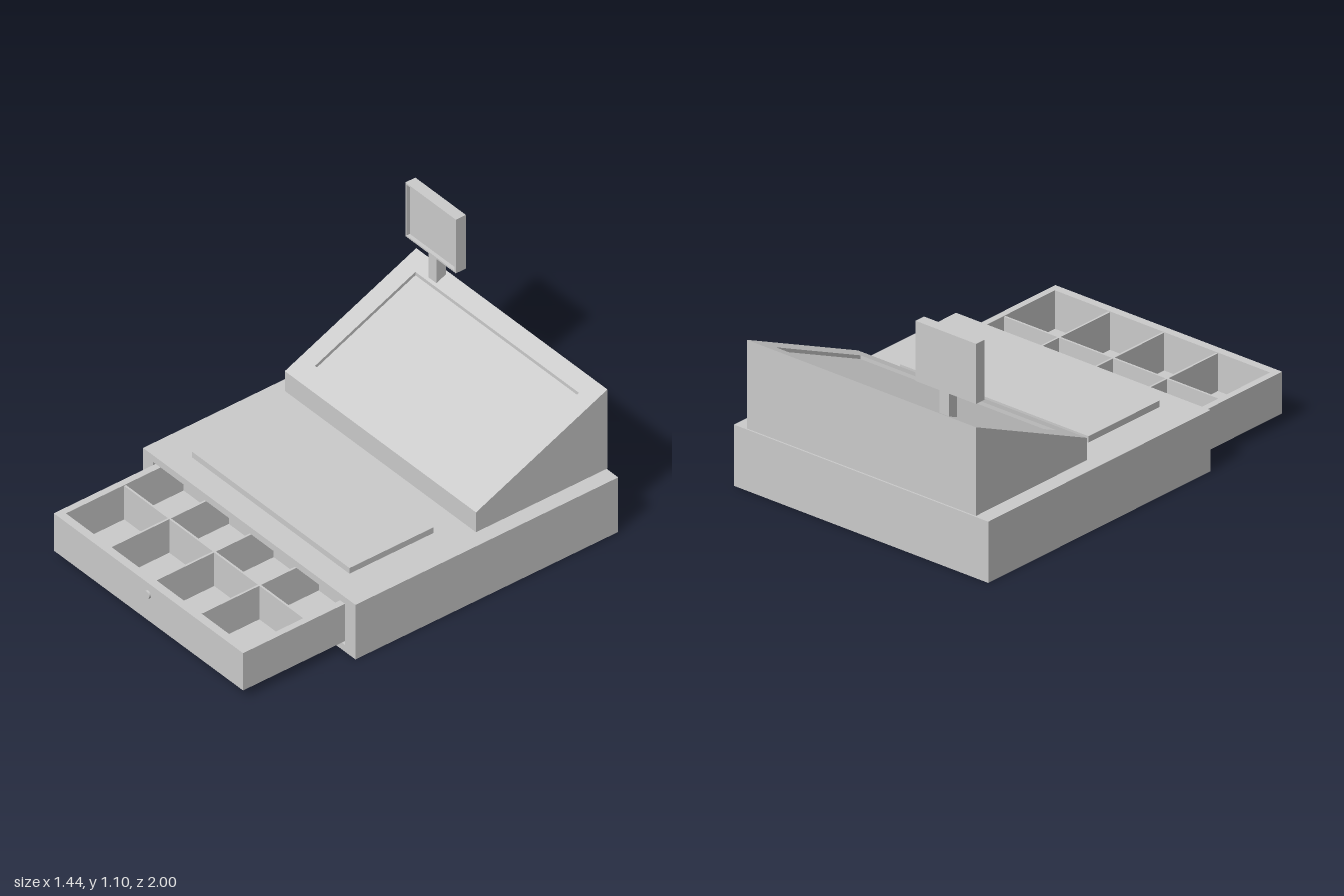
import * as THREE from 'three';

const material = new THREE.MeshStandardMaterial({ color: 0xcccccc, flatShading: true });

function addMesh(parent, name, geometry) {
  const mesh = new THREE.Mesh(geometry, material);
  mesh.name = name;
  parent.add(mesh);
  return mesh;
}

// Box given by its lower and upper limits on each axis
function addBox(parent, name, [x0, x1], [y0, y1], [z0, z1]) {
  const mesh = addMesh(parent, name, new THREE.BoxGeometry(x1 - x0, y1 - y0, z1 - z0));
  mesh.position.set((x0 + x1) / 2, (y0 + y1) / 2, (z0 + z1) / 2);
  return mesh;
}

function rectangle(PathType, [x0, x1], [y0, y1]) {
  const p = new PathType();
  p.moveTo(x0, y0);
  p.lineTo(x1, y0);
  p.lineTo(x1, y1);
  p.lineTo(x0, y1);
  p.closePath();
  return p;
}

// Rectangular frame in the xy plane, extruded along z from 0 to depth
function frameGeometry(outerX, outerY, innerX, innerY, depth) {
  const shape = rectangle(THREE.Shape, outerX, outerY);
  shape.holes.push(rectangle(THREE.Path, innerX, innerY));
  return new THREE.ExtrudeGeometry(shape, { depth, bevelEnabled: false });
}

function buildBase() {
  const base = new THREE.Group();
  base.name = 'base';
  const x = [-0.718, 0.718], y = [0, 0.29];
  // Hollow front housing that the drawer slides into, closed by a solid rear
  addMesh(base, 'drawerHousing', frameGeometry(x, y, [-0.65, 0.646], [0.036, 0.255], 0.74)).position.z = -0.3;
  addBox(base, 'baseRear', x, y, [-1, -0.3]);
  addBox(base, 'keypadPlate', [-0.535, 0.53], [0.29, 0.32], [-0.14, 0.32]);
  return base;
}

function buildDrawer() {
  const drawer = new THREE.Group();
  drawer.name = 'drawer';
  const x = [-0.643, 0.637], inX = [-0.61, 0.605];
  const z = [0.27, 0.99], inZ = [0.305, 0.95];
  const y0 = 0.047, y1 = 0.245;
  // Outer walls: frame laid flat so its depth becomes height
  const walls = frameGeometry(x, [-z[1], -z[0]], inX, [-inZ[1], -inZ[0]], y1 - y0);
  walls.rotateX(-Math.PI / 2);
  addMesh(drawer, 'drawerWalls', walls).position.y = y0;
  addBox(drawer, 'drawerFloor', inX, [y0 + 0.006, y0 + 0.016], inZ);
  // Coin and note dividers
  for (const cx of [-0.31, -0.006, 0.299]) {
    addBox(drawer, 'lengthDivider', [cx - 0.005, cx + 0.005], [y0, y1 - 0.004], inZ);
  }
  addBox(drawer, 'crossDivider', inX, [y0, y1 - 0.004], [0.621, 0.631]);
  // Lock on the drawer front
  const lock = addMesh(drawer, 'lock', new THREE.CylinderGeometry(0.019, 0.019, 0.02, 24));
  lock.rotation.x = Math.PI / 2;
  lock.position.set(-0.004, 0.187, 0.99);
  return drawer;
}

function buildConsole() {
  const console = new THREE.Group();
  console.name = 'screenConsole';
  const x = [-0.648, 0.645], front = -0.28, back = -1, recess = 0.0175;
  const slopeY = (z) => 0.4 + (0.715 - 0.4) * (front - z) / (front - back);

  // Wedge body; shape coordinates are (-z, y), extruded across the width
  const profile = new THREE.Shape([
    new THREE.Vector2(-front, 0.295),
    new THREE.Vector2(-back, 0.295),
    new THREE.Vector2(-back, slopeY(back) - recess),
    new THREE.Vector2(-front, slopeY(front) - recess),
  ]);
  const body = new THREE.ExtrudeGeometry(profile, { depth: x[1] - x[0], bevelEnabled: false });
  body.rotateY(Math.PI / 2);
  addMesh(console, 'consoleBody', body).position.x = x[0];

  // Sloping bezel: a flat frame sheared to follow the wedge
  const bezel = frameGeometry(x, [-front, -back], [-0.555, 0.552], [0.37, 0.92], recess);
  bezel.rotateX(-Math.PI / 2);
  const p = bezel.attributes.position;
  for (let i = 0; i < p.count; i++) p.setY(i, p.getY(i) + slopeY(p.getZ(i)) - recess);
  bezel.computeVertexNormals();
  addMesh(console, 'screenBezel', bezel);
  return console;
}

function buildCustomerDisplay() {
  const display = new THREE.Group();
  display.name = 'customerDisplay';
  const x = [-0.638, -0.296], y = [0.817, 1.102];
  addBox(display, 'displayPole', [-0.485, -0.43], [0.66, 0.82], [-0.986, -0.934]);
  addBox(display, 'displayBack', x, y, [-0.987, -0.95]);
  const rim = frameGeometry(x, y, [x[0] + 0.008, x[1] - 0.008], [y[0] + 0.008, y[1] - 0.008], 0.018);
  addMesh(display, 'displayRim', rim).position.z = -0.95;
  return display;
}

export function createModel() {
  const model = new THREE.Group();
  model.name = 'cashRegister';
  model.add(buildBase(), buildDrawer(), buildConsole(), buildCustomerDisplay());
  return model;
}
